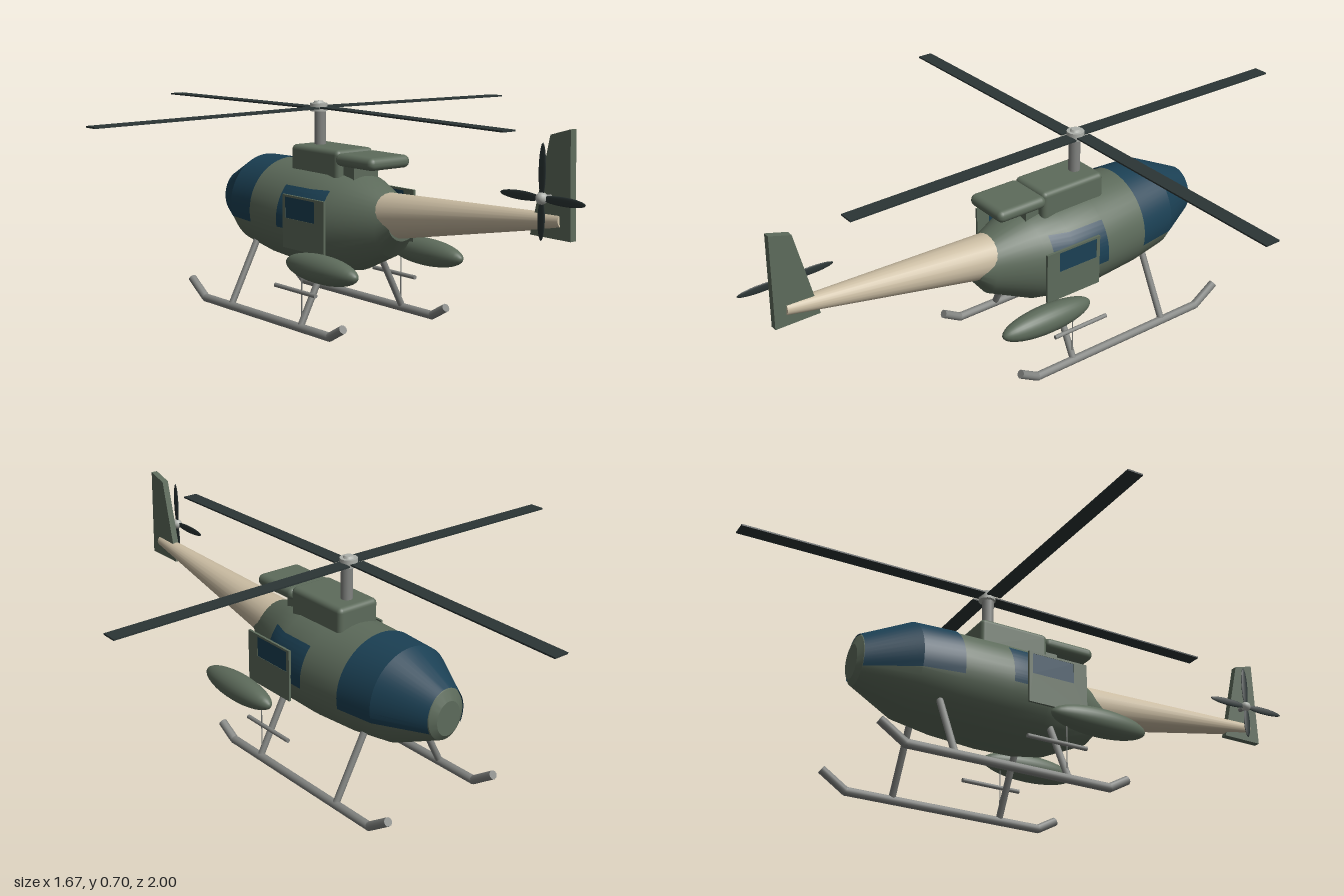
import * as THREE from 'three';
import { toCreasedNormals } from 'three/addons/utils/BufferGeometryUtils.js';
import { RoundedBoxGeometry } from 'three/addons/geometries/RoundedBoxGeometry.js';

const paint = (name, color, side = THREE.FrontSide) => {
  const m = new THREE.MeshStandardMaterial({ color, side });
  m.name = name;
  return m;
};

// Fuselage stations: z, centre height, half width, half height
const STATIONS = [
  [-0.618, 0.338, 0.045, 0.055], [-0.605, 0.345, 0.067, 0.08], [-0.45, 0.347, 0.15, 0.151],
  [-0.32, 0.338, 0.167, 0.162], [-0.16, 0.333, 0.178, 0.167], [-0.03, 0.333, 0.178, 0.165],
  [0.06, 0.333, 0.146, 0.153], [0.2, 0.34, 0.078, 0.096], [0.245, 0.355, 0.06, 0.055],
];

function stationAt(z) {
  let i = 0;
  while (i < STATIONS.length - 2 && z > STATIONS[i + 1][0]) i++;
  const a = STATIONS[i], b = STATIONS[i + 1], t = (z - a[0]) / (b[0] - a[0]);
  return a.map((v, k) => v + (b[k] - v) * t);
}

// Skin through elliptical stations; range gives the start and end angle at each station
function loft(stations, range, segs = 32) {
  const pos = [], idx = [], row = segs + 1;
  stations.forEach((s, j) => {
    const [a0, a1] = range(s);
    for (let i = 0; i <= segs; i++) {
      const a = a0 + (a1 - a0) * i / segs;
      pos.push(s[2] * Math.cos(a), s[1] + s[3] * Math.sin(a), s[0]);
      if (j && i) {
        const p = (j - 1) * row + i - 1, q = j * row + i - 1;
        idx.push(p, p + 1, q, p + 1, q + 1, q);
      }
    }
  });
  const g = new THREE.BufferGeometry();
  g.setAttribute('position', new THREE.Float32BufferAttribute(pos, 3));
  g.setIndex(idx);
  return toCreasedNormals(g, 0.35);
}

// Thin glass skin lying just over the fuselage
function glassSkin(zs, range) {
  const stations = zs.map(stationAt).map(([z, y, w, h]) => [z, y, w + 0.004, h + 0.004]);
  return loft(stations, range);
}

export function createModel() {
  const root = new THREE.Group();
  root.name = 'helicopter';
  const green = paint('olive green', 0x5d6b5b);
  const glass = paint('blue glass', 0x1b4054, THREE.DoubleSide);
  const tan = paint('tan', 0xcabca2);
  const dark = paint('rotor dark', 0x2b3535);
  const metal = paint('grey metal', 0x828481);
  const pale = paint('pale hub', 0xaeb1ab);

  const add = (name, geo, mat, x = 0, y = 0, z = 0, parent = root) => {
    const m = new THREE.Mesh(geo, mat);
    m.name = name;
    m.position.set(x, y, z);
    parent.add(m);
    return m;
  };
  const rod = (name, a, b, r0, r1, mat, segs = 12) => {
    const p = new THREE.Vector3(...a), q = new THREE.Vector3(...b), d = q.clone().sub(p);
    const m = add(name, new THREE.CylinderGeometry(r1, r0, d.length(), segs), mat);
    m.position.copy(p).add(q).multiplyScalar(0.5);
    m.quaternion.setFromUnitVectors(new THREE.Vector3(0, 1, 0), d.normalize());
    return m;
  };

  // Fuselage with closed ends
  const cap = ([z, y]) => [z, y, 0.0005, 0.0005];
  const hull = [cap(STATIONS[0]), ...STATIONS, cap(STATIONS[STATIONS.length - 1])];
  add('fuselage', loft(hull, () => [0, Math.PI * 2], 40), green);

  // Canopy and cabin side glass
  const angle = (s, y) => Math.asin(THREE.MathUtils.clamp((y - s[1]) / s[3], -1, 1));
  add('canopy', glassSkin([-0.605, -0.45, -0.32], s => {
    const a = angle(s, 0.302);
    return [a, Math.PI - a];
  }), glass);
  const sideZ = [-0.16, -0.03, 0.035];
  add('leftCabinGlass', glassSkin(sideZ, s => [angle(s, 0.31), angle(s, 0.442)]), glass);
  add('rightCabinGlass', glassSkin(sideZ, s => [Math.PI - angle(s, 0.442), Math.PI - angle(s, 0.31)]), glass);

  // Tail boom and fin
  rod('tailBoom', [0, 0.37, 0.18], [0, 0.45, 0.88], 0.073, 0.019, tan, 24);
  const fin = new THREE.Shape([[-0.92, 0.4], [-0.775, 0.4], [-0.84, 0.68], [-0.91, 0.7]]
    .map(p => new THREE.Vector2(...p)));
  const finGeo = new THREE.ExtrudeGeometry(fin, { depth: 0.022, bevelEnabled: false });
  finGeo.translate(0, 0, -0.011).rotateY(Math.PI / 2);
  add('tailFin', finGeo, green);

  // Roof housing and exhaust
  add('roofHousing', new RoundedBoxGeometry(0.152, 0.106, 0.24, 3, 0.016), green, 0, 0.509, -0.1);
  add('exhaustBase', new THREE.BoxGeometry(0.1, 0.08, 0.06), green, 0, 0.49, 0.04);
  add('exhaust', new RoundedBoxGeometry(0.165, 0.04, 0.18, 3, 0.019), green, 0, 0.534, 0.1);

  // Main rotor: four drooping blades set slightly off the hub centre
  const rotor = new THREE.Group();
  rotor.name = 'mainRotor';
  rotor.position.set(-0.002, 0.68, -0.165);
  root.add(rotor);
  rod('mast', [0, 0.55, -0.16], [0, 0.69, -0.16], 0.019, 0.019, metal);
  add('rotorHub', new THREE.CylinderGeometry(0.028, 0.028, 0.026, 16), pale, 0, 0.002, 0, rotor);
  add('hubCap', new THREE.CylinderGeometry(0.014, 0.02, 0.01, 12), pale, 0, 0.017, 0, rotor);
  for (let i = 0; i < 4; i++) {
    const arm = new THREE.Group();
    arm.name = 'mainBladeArm';
    arm.rotation.y = i * Math.PI / 2;
    rotor.add(arm);
    const blade = add('mainBlade', new THREE.BoxGeometry(0.81, 0.005, 0.05), dark, 0.43, -0.003, -0.011, arm);
    blade.rotation.z = -0.009;
  }

  // Tail rotor on the right of the fin, with slim rounded blades
  rod('tailRotorShaft', [0, 0.512, 0.845], [-0.05, 0.512, 0.845], 0.008, 0.008, metal);
  add('tailRotorHub', new THREE.SphereGeometry(0.017, 14, 10), pale, -0.045, 0.512, 0.845);
  [0.153, 0.115, 0.153, 0.15].forEach((reach, i) => {
    const arm = new THREE.Group();
    arm.name = 'tailBladeArm';
    arm.position.set(-0.045, 0.512, 0.845);
    arm.rotation.x = i * Math.PI / 2;
    root.add(arm);
    const blade = add('tailBlade', new THREE.SphereGeometry(1, 16, 10), dark, 0, 0, reach / 2, arm);
    blade.scale.set(0.003, 0.013, reach / 2);
  });

  // Doors, skids, legs and side pods, mirrored
  for (const s of [1, -1]) {
    const side = s > 0 ? 'left' : 'right';

    // Door frame with a window opening
    const door = new THREE.Shape([[-0.092, 0.252], [0.115, 0.252], [0.115, 0.422], [-0.092, 0.422]]
      .map(p => new THREE.Vector2(...p)));
    door.holes.push(new THREE.Path([[-0.045, 0.348], [-0.045, 0.415], [0.102, 0.415], [0.102, 0.348]]
      .map(p => new THREE.Vector2(...p))));
    const doorGeo = new THREE.ExtrudeGeometry(door, { depth: 0.008, bevelEnabled: false });
    doorGeo.translate(0, 0, -0.004).rotateY(Math.PI / 2);
    add(side + 'Door', doorGeo, green, s * 0.185);
    add(side + 'DoorWindow', new THREE.BoxGeometry(0.006, 0.069, 0.149), glass, s * 0.185, 0.3815, -0.0285);

    // Skid with upturned ends
    const pts = [[0.215, 0.052], [0.15, 0.015], [-0.525, 0.015], [-0.607, 0.07]]
      .map(([z, y]) => [s * 0.213, y, z]);
    for (let i = 0; i < 3; i++) {
      rod(side + 'Skid', pts[i], pts[i + 1], 0.014, 0.014, metal);
      if (i) add(side + 'SkidJoint', new THREE.SphereGeometry(0.014, 12, 8), metal, ...pts[i]);
    }
    for (const z of [0.005, -0.372])
      rod(side + 'Leg', [s * 0.1, 0.235, z], [s * 0.213, 0.018, z], 0.011, 0.011, metal);

    // Side pod and the step bar
    const pod = add(side + 'Pod', new THREE.SphereGeometry(1, 28, 18), green, s * 0.216, 0.22, 0.115);
    pod.rotation.x = Math.PI / 2;
    pod.scale.set(0.045, 0.168, 0.045);
    rod(side + 'StepBar', [s * 0.207, 0.128, 0.075], [s * 0.207, 0.128, -0.132], 0.007, 0.007, metal);
    rod(side + 'StepStrut', [s * 0.207, 0.02, 0.005], [s * 0.207, 0.2, 0.005], 0.002, 0.002, metal, 6);
  }
  return root;
}
